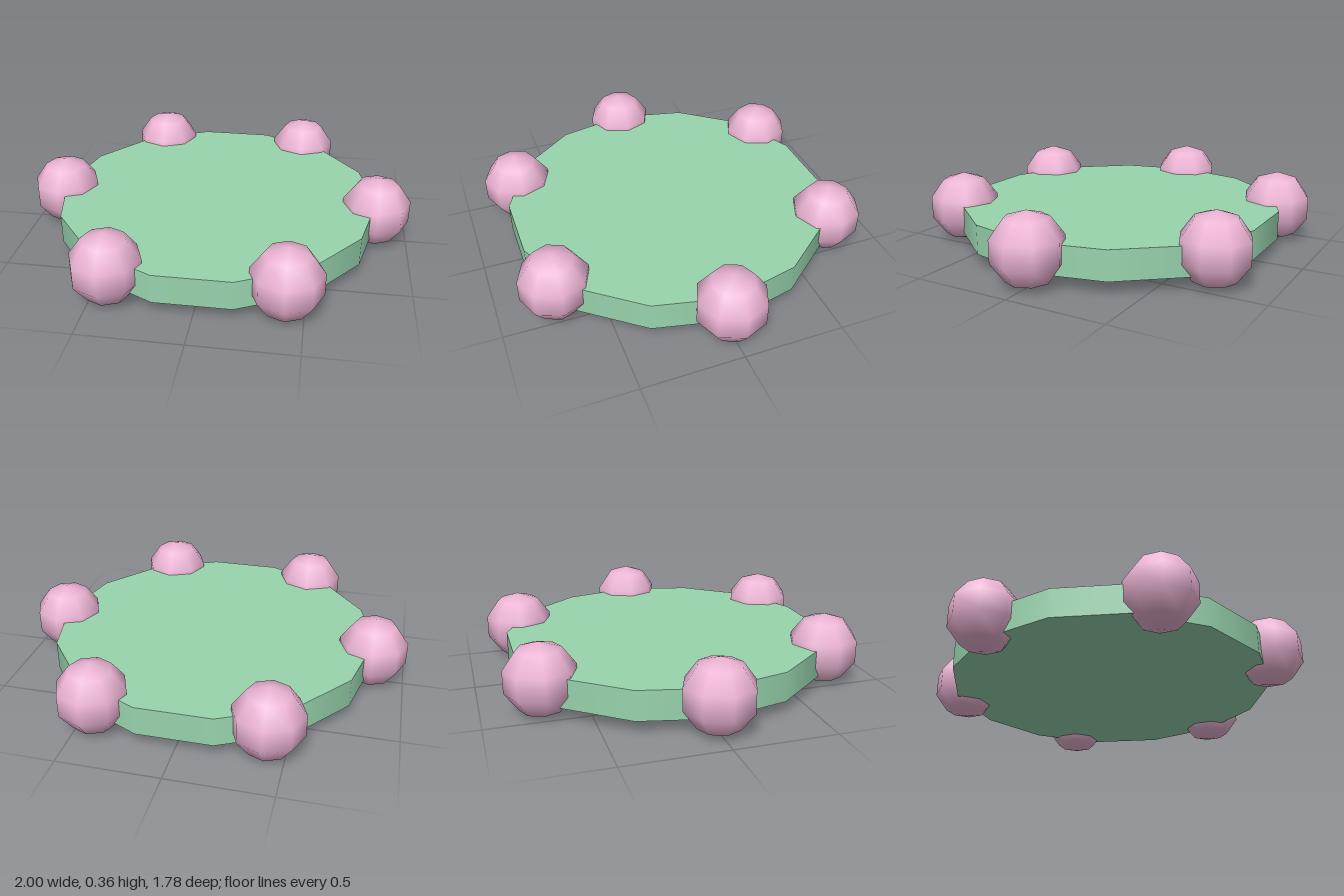
import * as THREE from 'three';

export function createModel() {
  const group = new THREE.Group();
  const ringRadius = 0.83;
  const ballRadius = 0.18;
  const green = new THREE.MeshStandardMaterial({ color: 0x98d4ae });
  const pink = new THREE.MeshStandardMaterial({ color: 0xecb4d4 });

  // Flat fourteen-sided plate with a corner on the x axis
  const plate = new THREE.Mesh(
    new THREE.CylinderGeometry(ringRadius, ringRadius, 0.147, 14, 1, false, Math.PI / 2),
    green
  );
  plate.name = 'plate';
  plate.position.y = 0.139;
  group.add(plate);

  // Six low-poly balls spaced evenly around the rim
  const ballGeometry = new THREE.SphereGeometry(ballRadius, 8, 5);
  const balls = new THREE.Group();
  balls.name = 'rimBalls';
  for (let i = 0; i < 6; i++) {
    const angle = (i / 6) * Math.PI * 2;
    const ball = new THREE.Mesh(ballGeometry, pink);
    ball.name = `rimBall${i + 1}`;
    ball.position.set(Math.cos(angle) * ringRadius, ballRadius, Math.sin(angle) * ringRadius);
    balls.add(ball);
  }
  group.add(balls);

  return group;
}
